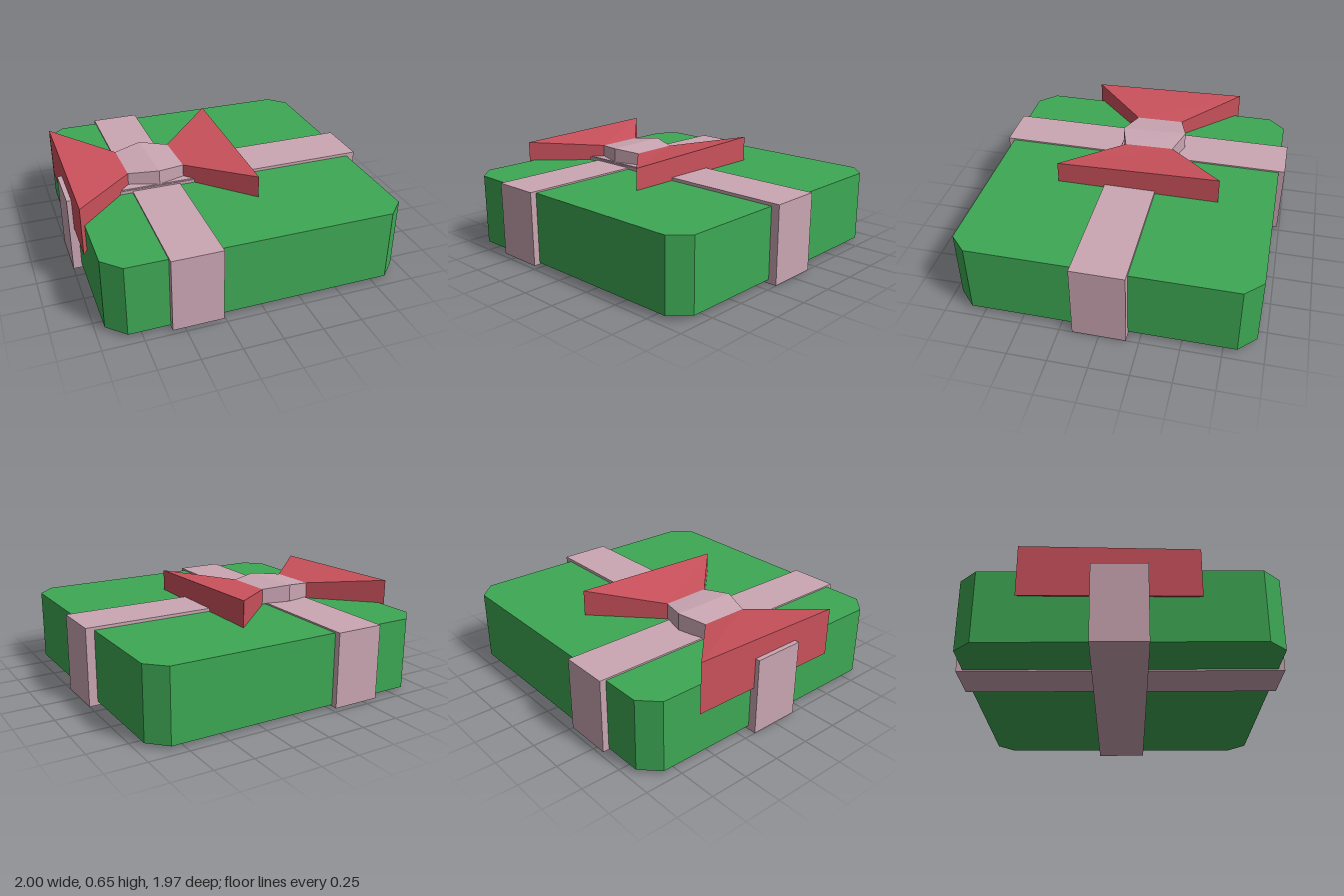
import * as THREE from 'three';

const mat = (name, color) => Object.assign(new THREE.MeshStandardMaterial({ color }), { name });

// Closed block with a convex outline of [x, z, bottomY, topY] corners,
// listed clockwise as seen from above (-z up the page).
function block(corners) {
  const pos = [];
  const n = corners.length;
  const lo = ([x, z, b]) => [x, b, z];
  const hi = ([x, z, , t]) => [x, t, z];
  const tri = (...pts) => pts.forEach((p) => pos.push(...p));
  for (let i = 0; i < n; i++) {
    const a = corners[i], b = corners[(i + 1) % n];
    tri(lo(a), hi(a), hi(b));
    tri(lo(a), hi(b), lo(b));
    if (i > 0 && i < n - 1) {
      tri(hi(corners[0]), hi(b), hi(a));
      tri(lo(corners[0]), lo(a), lo(b));
    }
  }
  const g = new THREE.BufferGeometry();
  g.setAttribute('position', new THREE.Float32BufferAttribute(pos, 3));
  g.computeVertexNormals();
  return g;
}

export function createModel() {
  const model = new THREE.Group();
  model.name = 'giftBox';
  const green = mat('green paper', 0x3da854);
  const pink = mat('pink ribbon', 0xcaa6b3);
  const red = mat('red bow', 0xca515b);

  const add = (name, geometry, material) => {
    const mesh = new THREE.Mesh(geometry, material);
    mesh.name = name;
    model.add(mesh);
  };
  const addBox = (name, x0, x1, y0, y1, z0, z1) => {
    const g = new THREE.BoxGeometry(x1 - x0, y1 - y0, z1 - z0);
    g.translate((x0 + x1) / 2, (y0 + y1) / 2, (z0 + z1) / 2);
    add(name, g, pink);
  };

  // Box with cut corners
  const r = 0.945, c = 0.835;
  const outline = [[-c, -r], [c, -r], [r, -c], [r, c], [c, r], [-c, r], [-r, c], [-r, -c]];
  add('box', block(outline.map(([x, z]) => [x, z, 0.025, 0.485])), green);

  // Ribbons wrapped both ways round the box
  addBox('crossRibbon', -1, 1, 0, 0.505, -0.17, 0.168);
  addBox('lengthRibbon', -0.58, -0.265, 0.015, 0.495, -0.985, 0.985);
  addBox('bowBase', -0.645, -0.175, 0.485, 0.513, -0.165, 0.163);

  // Bow knot, ridged along its middle
  add('bowKnot', block([
    [-0.415, -0.275, 0.5, 0.612], [-0.235, -0.215, 0.49, 0.592], [-0.225, 0.11, 0.49, 0.592],
    [-0.4, 0.165, 0.5, 0.608], [-0.59, 0.1, 0.49, 0.59], [-0.595, -0.22, 0.49, 0.592],
  ]), pink);

  // Flared bow loops, the right one drooping over the box edge
  add('leftBowLoop', block([
    [-0.235, -0.215, 0.48, 0.592], [0.15, -0.585, 0.482, 0.655],
    [0.148, 0.485, 0.47, 0.627], [-0.225, 0.11, 0.48, 0.592],
  ]), red);
  add('rightBowLoop', block([
    [-0.97, -0.595, 0.31, 0.642], [-0.595, -0.22, 0.45, 0.592],
    [-0.59, 0.1, 0.45, 0.59], [-0.97, 0.475, 0.3, 0.615],
  ]), red);

  return model;
}
